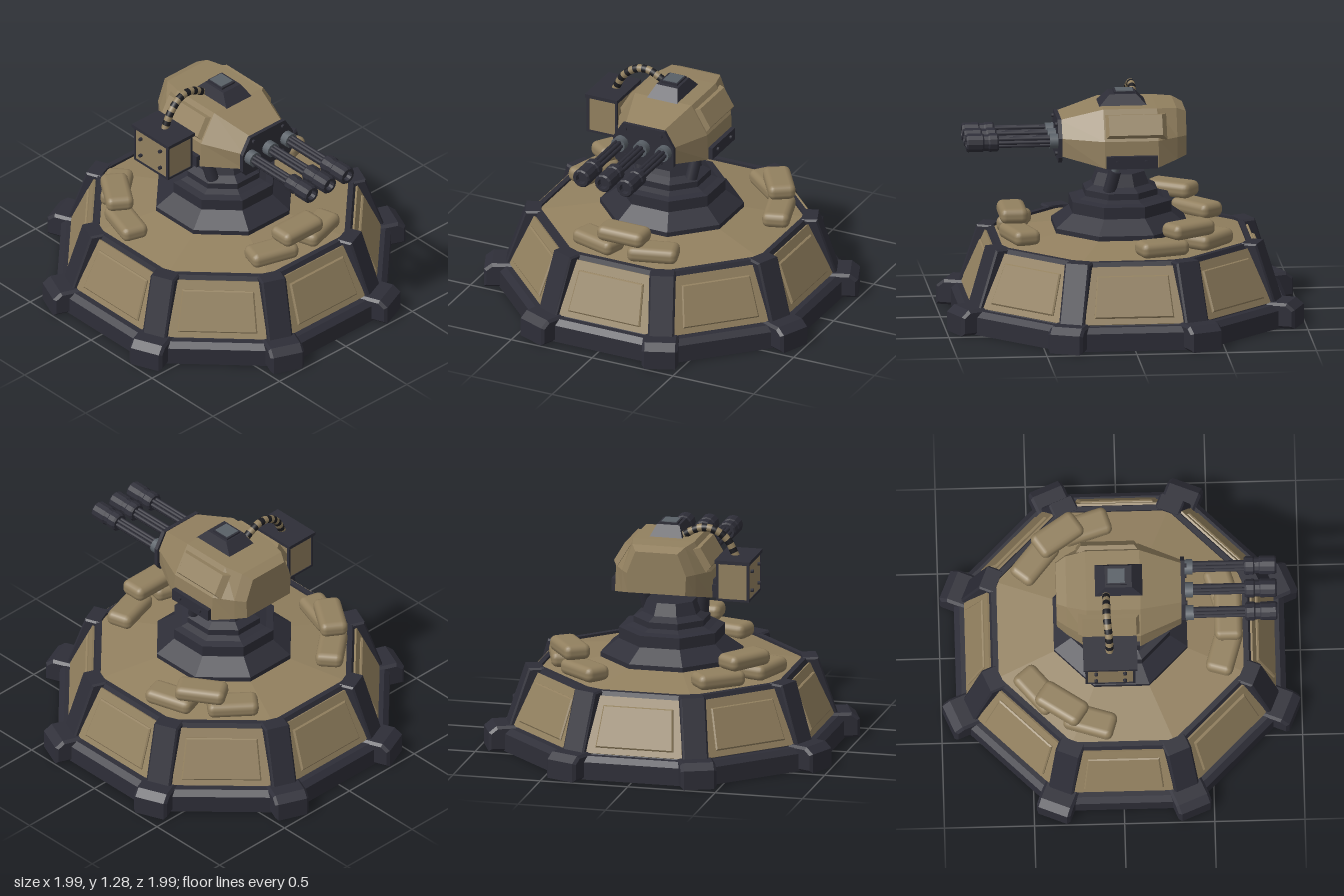
import * as THREE from 'three';
import { RoundedBoxGeometry } from 'three/addons/geometries/RoundedBoxGeometry.js';

const mat = (name, color) => Object.assign(new THREE.MeshStandardMaterial({ color }), { name });

export function createModel() {
  const tan = mat('sand paint', 0x92805f);
  const dark = mat('dark metal', 0x2e2e38);
  const steel = mat('grey steel', 0x596067);
  const black = mat('black rubber', 0x1b1b1f);
  const root = new THREE.Group();
  root.name = 'turret';

  const add = (name, geo, material, parent = root, x = 0, y = 0, z = 0) => {
    const m = new THREE.Mesh(geo, material);
    m.name = name;
    m.position.set(x, y, z);
    parent.add(m);
    return m;
  };
  const group = (name, parent = root) => {
    const g = new THREE.Group();
    g.name = name;
    parent.add(g);
    return g;
  };
  const flat = (geo) => {
    const g = geo.index ? geo.toNonIndexed() : geo;
    g.computeVertexNormals();
    return g;
  };
  // Eight-sided solid from [apothem, y] pairs, flats facing the axes
  const octagon = (pts) => flat(new THREE.LatheGeometry(
    pts.map(([a, y]) => new THREE.Vector2(a / Math.cos(Math.PI / 8), y)), 8, Math.PI / 8));
  // Outline extruded along z, centred or standing on z = 0
  const slab = (pts, depth, bevel = 0, centred = true) => {
    const g = new THREE.ExtrudeGeometry(new THREE.Shape(pts.map((p) => new THREE.Vector2(...p))), {
      depth: depth - bevel * (centred ? 2 : 1), bevelEnabled: bevel > 0, bevelSize: bevel,
      bevelThickness: bevel, bevelSegments: 1 });
    return centred ? g.translate(0, 0, -depth / 2 + bevel) : g;
  };
  // Box whose top is scaled inward
  const taperedBox = (w, h, d, sx, sz) => {
    const g = new THREE.BoxGeometry(w, h, d), p = g.attributes.position;
    for (let i = 0; i < p.count; i++) {
      if (p.getY(i) > 0) { p.setX(i, p.getX(i) * sx); p.setZ(i, p.getZ(i) * sz); }
    }
    return flat(g);
  };
  const rod = (name, a, b, r, sides, material, parent) => {
    const from = new THREE.Vector3(...a), to = new THREE.Vector3(...b);
    const dir = to.clone().sub(from);
    const m = add(name, new THREE.CylinderGeometry(r, r, dir.length(), sides), material, parent);
    m.position.copy(from).add(to).multiplyScalar(0.5);
    m.quaternion.setFromUnitVectors(new THREE.Vector3(0, 1, 0), dir.normalize());
    return m;
  };

  // Bunker base, deck and pedestal
  add('bunkerBase', octagon([[0, 0], [0.915, 0], [0.915, 0.1], [0.885, 0.13], [0.85, 0.13],
    [0.71, 0.46], [0.68, 0.46], [0.68, 0.44]]), dark);
  add('deck', octagon([[0.685, 0.445], [0.36, 0.5], [0, 0.505]]), tan);
  add('pedestal', octagon([[0.37, 0.48], [0.37, 0.525], [0.275, 0.6], [0.275, 0.665], [0.235, 0.675],
    [0.2, 0.69], [0.2, 0.725], [0.155, 0.75], [0.13, 0.82], [0, 0.82]]), dark);

  // Wall panels, corner pillars and feet
  const panel = slab([[-0.274, 0.005], [0.274, 0.005], [0.24, 0.33], [-0.24, 0.33]], 0.012, 0, false);
  const inset = slab([[-0.215, 0.045], [0.215, 0.045], [0.193, 0.27], [-0.193, 0.27]], 0.014, 0.007, false);
  const pillar = slab([[0.74, 0.1], [0.925, 0.1], [0.805, 0.453], [0.735, 0.453]], 0.145, 0.01);
  const foot = slab([[0.84, 0.015], [1.025, 0.015], [1.025, 0.1], [0.99, 0.128], [0.86, 0.128]], 0.2, 0.015);
  for (let k = 0; k < 8; k++) {
    const side = group('wallSide');
    side.rotation.y = k * Math.PI / 4;
    const wall = group('wallPanel', side);
    wall.position.set(0, 0.13, 0.85);
    wall.rotation.x = -Math.atan2(0.14, 0.33);
    add('panel', panel, tan, wall);
    add('panelInset', inset, tan, wall, 0, 0, 0.011);
    const corner = group('corner');
    corner.rotation.y = (k + 0.5) * Math.PI / 4;
    add('pillar', pillar, dark, corner);
    add('foot', foot, dark, corner);
  }

  // Three stacks of sandbags
  const bag = new RoundedBoxGeometry(0.285, 0.088, 0.155, 2, 0.036);
  for (const deg of [0, 124, -124]) {
    const stack = group('sandbagStack');
    for (const [off, y] of [[-16.5, 0.505], [16.5, 0.505], [0, 0.592]]) {
      const a = (deg + off) * Math.PI / 180;
      add('sandbag', bag, tan, stack, 0.6 * Math.sin(a), y, 0.6 * Math.cos(a)).rotation.y = a;
    }
  }

  // Gun housing, lofted from front to back: [z, bottom w, bottom y, mid w, mid y, top w, top y]
  const sections = [
    [0.345, 0.165, 0.94, 0.17, 1.04, 0.115, 1.135],
    [0.11, 0.278, 0.89, 0.272, 1.04, 0.175, 1.203],
    [-0.19, 0.278, 0.89, 0.272, 1.04, 0.175, 1.203],
    [-0.3, 0.21, 0.92, 0.21, 1.045, 0.15, 1.198],
    [-0.355, 0.165, 0.935, 0.17, 1.045, 0.12, 1.172]];
  const pos = [], idx = [], n = 6;
  for (const [z, wb, yb, wm, ym, wt, yt] of sections) {
    pos.push(wb, yb, z, wm, ym, z, wt, yt, z, -wt, yt, z, -wm, ym, z, -wb, yb, z);
  }
  for (let s = 0; s < sections.length - 1; s++) {
    for (let i = 0; i < n; i++) {
      const a = s * n + i, b = s * n + (i + 1) % n;
      idx.push(a, a + n, b, b, a + n, b + n);
    }
  }
  const last = (sections.length - 1) * n;
  for (let i = 1; i < n - 1; i++) idx.push(0, i, i + 1, last, last + i + 1, last + i);
  const housing = new THREE.BufferGeometry();
  housing.setAttribute('position', new THREE.Float32BufferAttribute(pos, 3));
  housing.setIndex(idx);
  const head = group('gunHead');
  add('housing', flat(housing), tan, head);

  // Cheek armour, side brackets and support struts on both sides
  for (const s of [-1, 1]) {
    const cheek = add('cheekPlate', taperedBox(0.15, 0.035, 0.35, 0.8, 0.85), tan, head, s * 0.232, 1.118, -0.065);
    cheek.rotation.z = -s * Math.atan2(0.163, 0.097);
    add('sideBracket', new THREE.BoxGeometry(0.035, 0.07, 0.285), dark, head, s * 0.283, 0.925, -0.04);
    for (const z of [0.04, -0.12]) {
      rod('bracketBolt', [s * 0.29, 0.93, z], [s * 0.312, 0.93, z], 0.011, 6, dark, head);
    }
    rod('strutSleeve', [s * 0.155, 0.73, 0.075], [s * 0.172, 0.85, 0.045], 0.036, 8, dark, head);
    rod('strutRod', [s * 0.17, 0.84, 0.047], [s * 0.188, 0.93, 0.02], 0.021, 10, steel, head);
  }

  // Hatch with a sight window
  add('hatch', taperedBox(0.19, 0.065, 0.27, 0.68, 0.55), dark, head, 0, 1.23, -0.01);
  add('hatchCap', new THREE.BoxGeometry(0.1, 0.014, 0.115), dark, head, 0, 1.266, -0.02);
  add('sightWindow', new THREE.BoxGeometry(0.085, 0.006, 0.095), steel, head, 0, 1.274, -0.022);

  // Front plate with bolts
  add('frontPlate', slab([[-0.165, 0.905], [0.165, 0.905], [0.188, 0.935], [0.188, 1.045], [0.13, 1.14],
    [-0.13, 1.14], [-0.188, 1.045], [-0.188, 0.935]], 0.022, 0, false), dark, head, 0, 0, 0.338);
  for (const x of [-0.11, 0.11]) {
    for (const y of [0.945, 1.11]) rod('plateBolt', [x, y, 0.355], [x, y, 0.372], 0.012, 6, dark, head);
  }

  // Three multi-tube guns
  for (const x of [-0.135, 0, 0.135]) {
    const gun = group('gun', head);
    gun.position.set(x, 1.02, 0);
    rod('collar', [0, 0, 0.35], [0, 0, 0.405], 0.043, 12, steel, gun);
    rod('barrelCore', [0, 0, 0.4], [0, 0, 0.7], 0.023, 10, dark, gun);
    for (let i = 0; i < 6; i++) {
      const a = i * Math.PI / 3, c = 0.022 * Math.cos(a), d = 0.022 * Math.sin(a);
      rod('barrelTube', [c, d, 0.4], [c, d, 0.7], 0.011, 8, dark, gun);
    }
    const muzzle = [[0, 0.69], [0.045, 0.69], [0.053, 0.7], [0.053, 0.74], [0.047, 0.748], [0.047, 0.772],
      [0.053, 0.78], [0.053, 0.86], [0.045, 0.87], [0.03, 0.87], [0.028, 0.84], [0, 0.84]];
    add('muzzle', flat(new THREE.LatheGeometry(muzzle.map((p) => new THREE.Vector2(...p)), 12)), dark, gun)
      .rotation.x = Math.PI / 2;
  }

  // Ammunition box with frame, lid and latches
  const ammo = group('ammoBox');
  ammo.position.set(-0.397, 0, -0.065);
  add('boxBody', new THREE.BoxGeometry(0.18, 0.215, 0.27), tan, ammo, 0, 0.99, 0);
  add('boxLid', new THREE.BoxGeometry(0.2, 0.02, 0.3), dark, ammo, 0, 1.102, 0);
  add('boxFloor', new THREE.BoxGeometry(0.188, 0.012, 0.278), dark, ammo, 0, 0.884, 0);
  add('boxMount', new THREE.BoxGeometry(0.06, 0.07, 0.18), dark, ammo, 0.11, 0.95, 0);
  for (const x of [-1, 1]) {
    for (const z of [-1, 1]) {
      add('boxPost', new THREE.BoxGeometry(0.014, 0.22, 0.014), dark, ammo, x * 0.087, 0.988, z * 0.132);
    }
  }
  for (const z of [-0.08, 0.08]) {
    for (const y of [0.935, 1.045]) rod('boxBolt', [-0.085, y, z], [-0.107, y, z], 0.01, 6, dark, ammo);
  }

  // Banded ammunition feed hose
  const path = new THREE.CatmullRomCurve3([[-0.385, 1.1, -0.068], [-0.335, 1.195, -0.07], [-0.26, 1.25, -0.078],
    [-0.19, 1.258, -0.08], [-0.13, 1.235, -0.08], [-0.075, 1.2, -0.08]].map((p) => new THREE.Vector3(...p)));
  const bands = 15, radial = 10;
  const hose = new THREE.TubeGeometry(path, bands * 2, 0.022, radial);
  for (let i = 0; i < bands; i++) hose.addGroup(i * radial * 12, radial * 12, i % 2);
  add('feedHose', hose, [tan, black]);

  return root;
}
